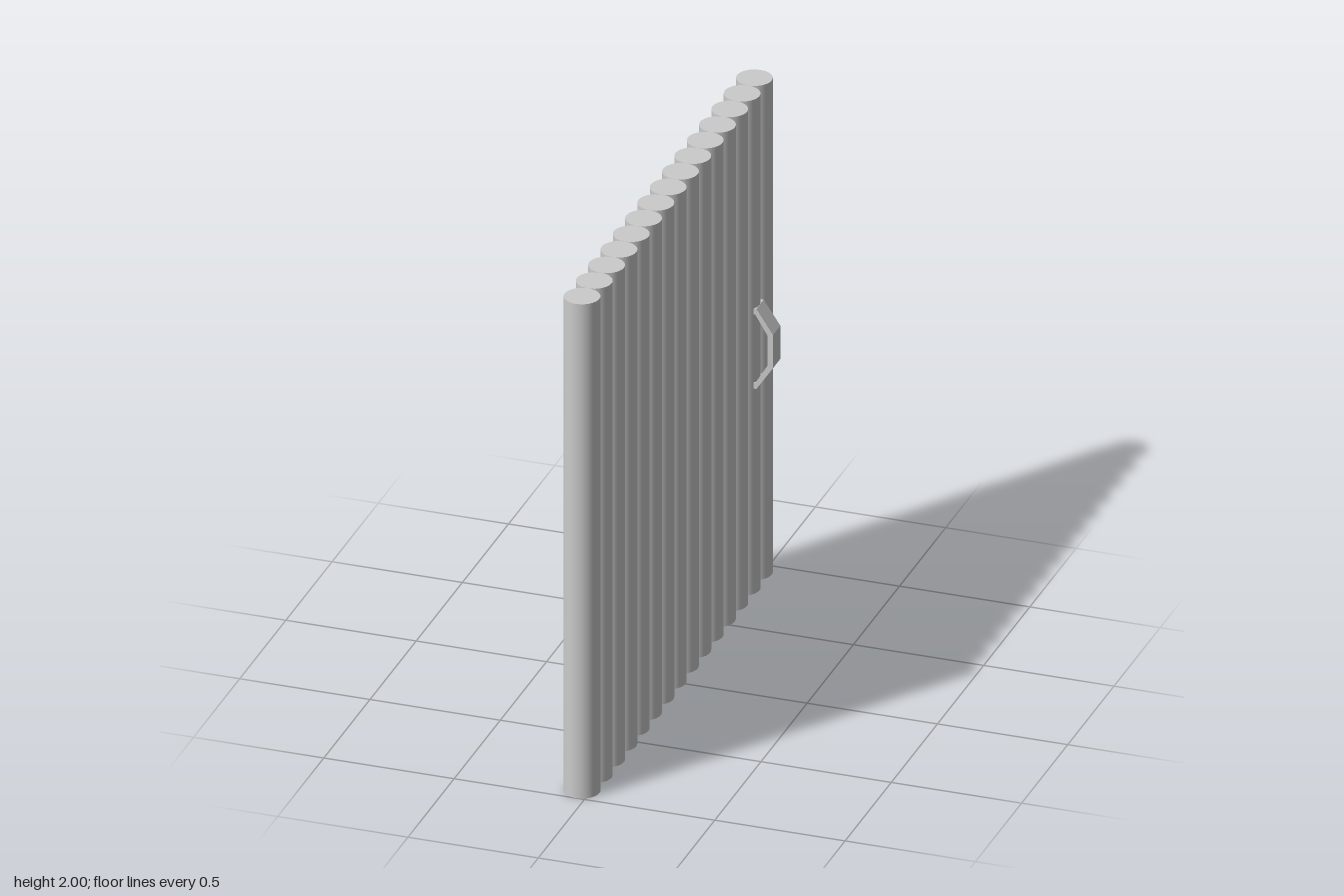
import * as THREE from 'three';

export function createModel() {
  const group = new THREE.Group();
  const material = new THREE.MeshStandardMaterial({ color: 0xcccccc });

  // Row of upright logs, side by side along z
  const count = 15;
  const radius = 1 / count;
  const logX = -0.033;
  const logGeometry = new THREE.CylinderGeometry(radius, radius, 2, 32);
  const logs = new THREE.Group();
  logs.name = 'logs';
  for (let i = 0; i < count; i++) {
    const log = new THREE.Mesh(logGeometry, material);
    log.name = `log${i + 1}`;
    log.position.set(logX, 1, -1 + radius * (2 * i + 1));
    logs.add(log);
  }
  group.add(logs);

  // Angular strap handle, its flat feet sunk into the log
  const midY = 0.993;
  const outer = [[0.01, 0.162], [0.034, 0.162], [0.098, 0.067]];
  const inner = [[0.076, 0.062], [0.03, 0.138], [0.01, 0.138]];
  const mirrored = (points) => points.map(([x, y]) => [x, -y]).reverse();
  const outline = [...outer, ...mirrored(outer), ...mirrored(inner), ...inner];
  const shape = new THREE.Shape(outline.map(([x, y]) => new THREE.Vector2(x, y)));
  const width = 0.08;
  const handleGeometry = new THREE.ExtrudeGeometry(shape, { depth: width, bevelEnabled: false });
  handleGeometry.translate(0, 0, -width / 2);
  const handle = new THREE.Mesh(handleGeometry, material);
  handle.name = 'handle';
  handle.position.set(0, midY, -0.805);
  group.add(handle);

  return group;
}
